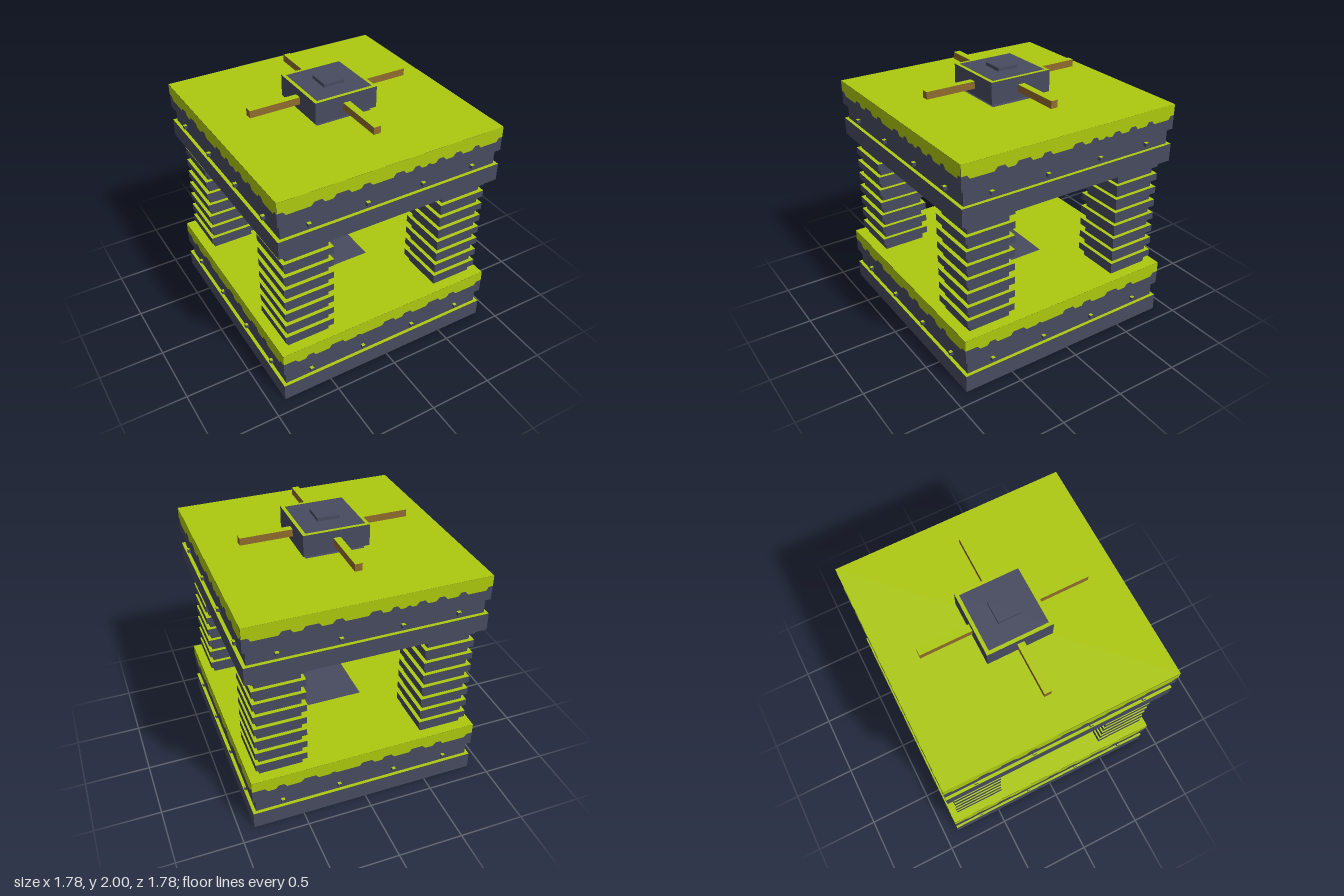
import * as THREE from 'three';

const stone = new THREE.MeshStandardMaterial({ color: 0x474b5f });
stone.name = 'slate stone';
const moss = new THREE.MeshStandardMaterial({ color: 0xadc90e });
moss.name = 'moss green';
const wood = new THREE.MeshStandardMaterial({ color: 0x906c2e });
wood.name = 'brown wood';

const HALF = 0.888;

// Box spanning y0..y1 whose upward face is moss
function block(name, w, y0, y1, d, x = 0, z = 0, side = stone, top = moss) {
  const mesh = new THREE.Mesh(
    new THREE.BoxGeometry(w, y1 - y0, d),
    [side, side, top, side, side, side]
  );
  mesh.position.set(x, (y0 + y1) / 2, z);
  mesh.name = name;
  return mesh;
}

// Thin dark square lying on a mossy top
function patch(name, y) {
  const mesh = new THREE.Mesh(new THREE.PlaneGeometry(0.446, 0.446), stone);
  mesh.rotation.x = -Math.PI / 2;
  mesh.position.y = y + 0.001;
  mesh.name = name;
  return mesh;
}

// Moss band: straight top, bottom edge notched by [start, end, height] bumps
function mossBand(bumps) {
  const s = new THREE.Shape();
  s.moveTo(-HALF, 0);
  s.lineTo(-HALF, -0.11);
  for (const [a, b, h] of bumps) {
    const c = Math.min(0.022, (b - a) / 3);
    const l = a <= -HALF ? 0 : c, r = b >= HALF ? 0 : c;
    s.lineTo(a, -0.11);
    s.lineTo(a + l, -0.11 + h);
    s.lineTo(b - r, -0.11 + h);
    s.lineTo(b, -0.11);
  }
  s.lineTo(HALF, -0.11);
  s.lineTo(HALF, 0);
  return new THREE.ShapeGeometry(s);
}

// Slab: two tiers around a recessed, bolted groove, with moss over the rim
function slab(name, y, bumps) {
  const g = new THREE.Group();
  g.name = name;
  g.position.y = y;
  const w = HALF * 2;
  g.add(
    block('lowerTier', w, 0, 0.136, w),
    block('groove', 1.724, 0.136, 0.254, 1.724),
    block('upperTier', w, 0.254, 0.444, w),
    patch('bareCentre', 0.444)
  );
  const band = mossBand(bumps);
  for (let i = 0; i < 4; i++) {
    const side = new THREE.Group();
    side.name = 'slabSide';
    side.rotation.y = i * Math.PI / 2;
    const rim = new THREE.Mesh(band, moss);
    rim.name = 'mossRim';
    rim.position.set(0, 0.444, HALF + 0.001);
    side.add(rim);
    for (const x of [-0.655, -0.21, 0.235, 0.655]) {
      side.add(block('bolt', 0.027, 0.17, 0.197, 0.04, x, 0.868));
    }
    g.add(side);
  }
  return g;
}

// Pillar: square core with evenly spaced ledges
function pillar(x, z) {
  const g = new THREE.Group();
  g.name = 'pillar';
  g.position.set(x, 0, z);
  g.add(block('pillarCore', 0.33, 0.444, 1.335, 0.33));
  for (let i = 0; i < 8; i++) {
    const y = 0.502 + i * 0.111;
    g.add(block('pillarLedge', 0.388, y, y + 0.055, 0.388));
  }
  return g;
}

export function createModel() {
  const model = new THREE.Group();
  model.name = 'mossyShrine';

  const H = 0.027, S = 0.013;
  model.add(slab('baseSlab', 0, [
    [-HALF, -0.77, H], [-0.71, -0.625, H], [-0.515, -0.38, H], [-0.29, -0.24, S],
    [-0.055, 0.065, H], [0.125, 0.225, H], [0.35, 0.485, H], [0.55, 0.635, H], [0.82, HALF, H],
  ]));
  model.add(slab('roofSlab', 1.335, [
    [-HALF, -0.825, H], [-0.645, -0.545, H], [-0.485, -0.35, H], [-0.28, -0.19, H],
    [-0.03, 0.075, H], [0.125, 0.2, H], [0.235, 0.285, S], [0.315, 0.4, H],
    [0.46, 0.545, H], [0.625, 0.7, H], [0.84, HALF, H],
  ]));

  for (const x of [-0.64, 0.64]) {
    for (const z of [-0.64, 0.64]) model.add(pillar(x, z));
  }

  // Hub with four wooden spokes
  const hub = new THREE.Group();
  hub.name = 'hub';
  hub.add(
    block('hubNeck', 0.165, 1.778, 1.81, 0.165),
    block('hubBody', 0.498, 1.81, 1.974, 0.498),
    patch('hubTop', 1.974),
    block('hubKnob', 0.165, 1.974, 2, 0.165, 0, 0, stone, stone)
  );
  for (let i = 0; i < 4; i++) {
    const arm = new THREE.Group();
    arm.name = 'spoke';
    arm.rotation.y = i * Math.PI / 2;
    arm.add(block('spokeRod', 0.054, 1.863, 1.918, 0.4, 0, 0.439, wood));
    hub.add(arm);
  }
  model.add(hub);
  return model;
}
